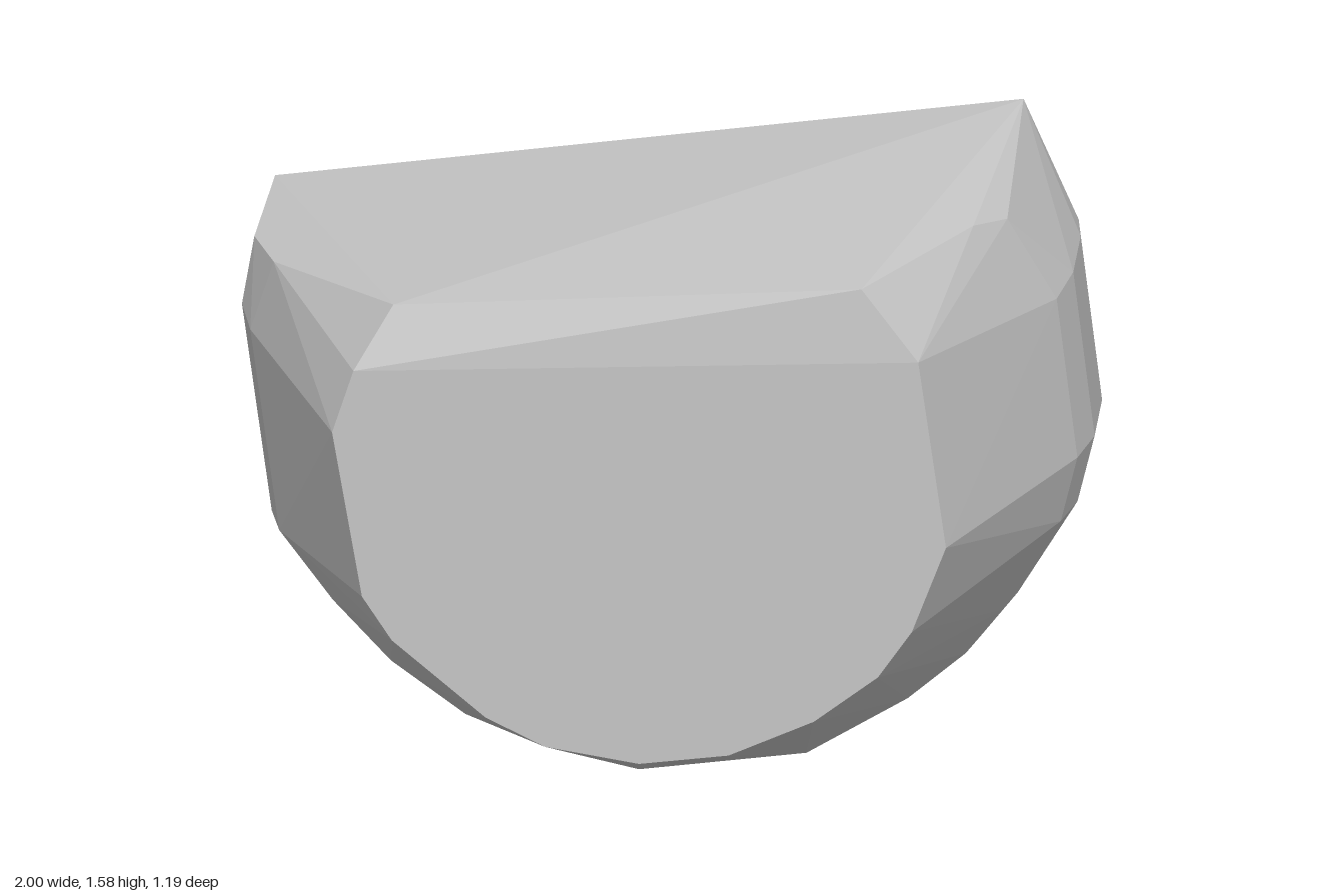
import * as THREE from 'three';
import { ConvexGeometry } from 'three/addons/geometries/ConvexGeometry.js';

// Widest outline of the boulder, from the +x shoulder under the base to the -x shoulder
const girth = [
  [0.95, 1.29], [1.0, 0.87], [0.96, 0.7], [0.82, 0.46], [0.73, 0.34], [0.59, 0.215],
  [0.345, 0.06], [-0.06, 0], [-0.24, 0.04], [-0.48, 0.13], [-0.66, 0.265],
  [-0.8, 0.42], [-0.93, 0.6], [-1.0, 1.13],
];

// Flat cut at the front
const face = [
  [0.645, 1.355], [0.71, 0.88], [0.63, 0.66], [0.55, 0.54], [0.4, 0.42], [0.2, 0.325],
  [-0.01, 0.295], [-0.23, 0.33], [-0.37, 0.4], [-0.59, 0.59], [-0.66, 0.7], [-0.73, 1.12], [-0.68, 1.28],
];

// Corners of the sloping top and the leaning back
const corners = [
  [0.805, 1.58, -0.405], [0.81, 1.5, 0.09], [0.74, 1.53, 0.2], [0.51, 1.53, 0.575],
  [-0.59, 1.435, 0.55], [-0.91, 1.325, 0.1], [-0.97, 1.31, -0.07], [-0.95, 1.315, -0.4],
  [0.69, 0.385, -0.55], [0.6, 0.275, -0.545], [0.28, 0.13, -0.53],
  [-0.22, 0.12, -0.595], [-0.28, 0.08, -0.545], [-0.43, 0.13, -0.545],
];

// One cross-section, scaled about the middle of the rock
const section = (outline, z, s = 1) =>
  outline.map(([x, y]) => new THREE.Vector3(x * s, 0.8 + (y - 0.8) * s, z));

export function createModel() {
  const stone = new THREE.MeshStandardMaterial({ color: 0xc6c6c6 });
  stone.name = 'pale grey stone';

  const points = [
    ...section(girth, -0.388, 0.985),
    ...section(girth, -0.28),
    ...section(girth, -0.08),
    ...section(girth, 0.04, 0.97),
    ...section(face, 0.593),
    ...corners.map((c) => new THREE.Vector3(...c)),
  ];

  // Faceted hull around all the sections
  const boulder = new THREE.Mesh(new ConvexGeometry(points), stone);
  boulder.name = 'boulder';

  const model = new THREE.Group();
  model.name = 'rock';
  model.add(boulder);
  return model;
}
